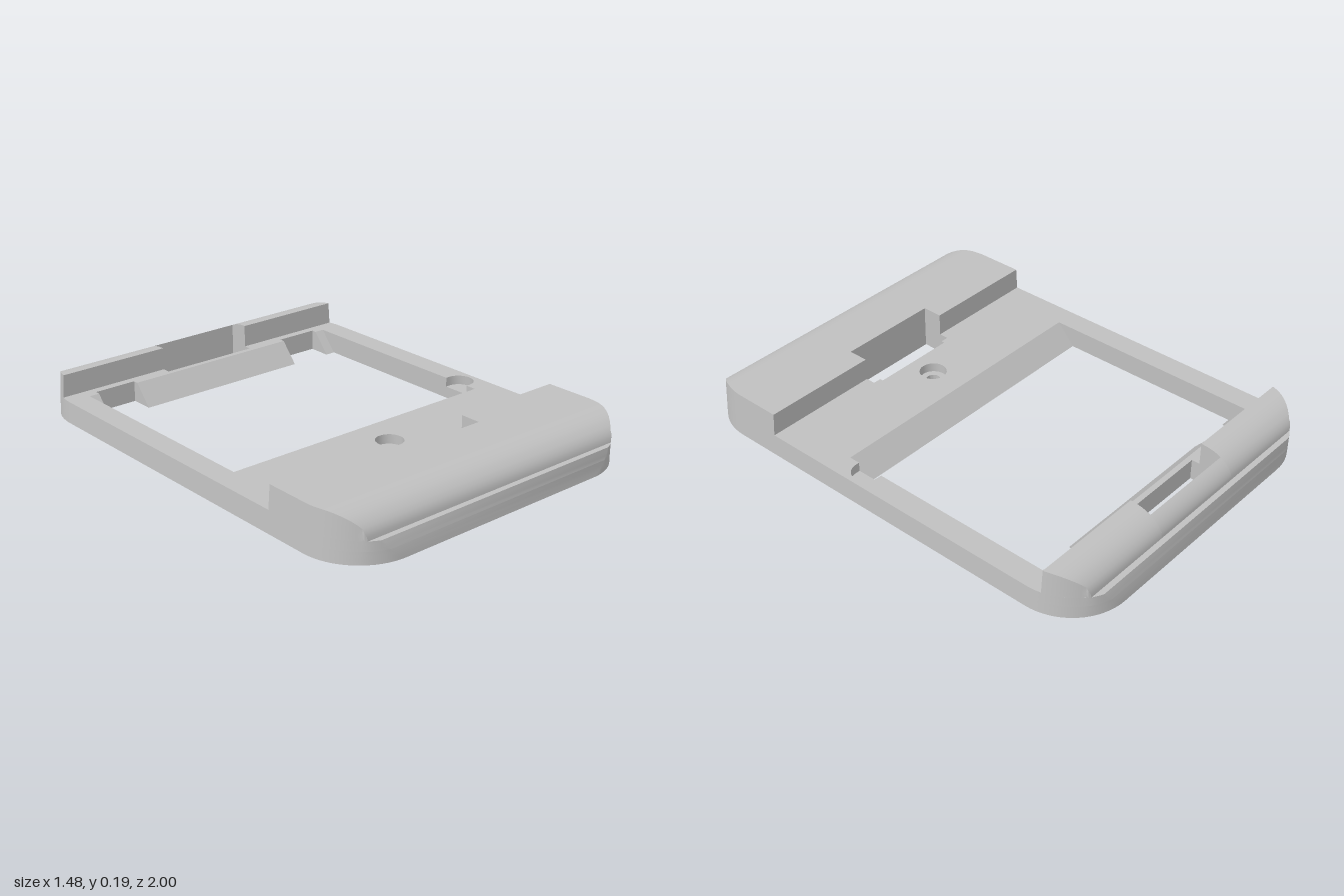
import * as THREE from 'three';
import { toCreasedNormals } from 'three/addons/utils/BufferGeometryUtils.js';

const W = 0.74, R = 0.25, TOP = 0.187, PLATE = 0.09, MID = 0.05, STEPS = 10;

const grey = new THREE.MeshStandardMaterial({ color: 0xc0c0c0 });
grey.name = 'grey plastic';

// Plan points are [x, z] pairs.
const arc = (cx, cz, r, a0, a1, n = 12) =>
  Array.from({ length: n + 1 }, (_, i) => {
    const a = a0 + (a1 - a0) * i / n;
    return [cx + r * Math.cos(a), cz + r * Math.sin(a)];
  });
const rect = (x0, x1, z0, z1) => [[x0, z0], [x1, z0], [x1, z1], [x0, z1]];
const flip = (pts, sx, sz) => pts.map(([x, z]) => [x * sx, z * sz]);
const toVec = pts => {
  const v = pts.map(([x, z]) => new THREE.Vector2(x, -z));
  return THREE.ShapeUtils.isClockWise(v) ? v.reverse() : v;
};

// Half-width of the rounded outline at a given z in a corner
const cornerX = z => W - R + Math.sqrt(Math.max(0, R * R - (z - 1 + R) ** 2));

// Plate and rounded-block sections: [height, end limit in z] for t from 0 to 1
const plateSection = (y0, y1) => t => {
  const y = y0 + (y1 - y0) * t;
  return [y, 1 - 0.02 * (y / PLATE) ** 1.5];
};
const blockSection = (maxAngle = Math.PI / 2) => t => {
  const a = t * maxAngle;
  return [PLATE + (TOP - PLATE) * Math.sin(a), 0.82 + 0.137 * Math.cos(a)];
};

// Plate corner, and a block corner whose points fall on the block's section limits
const corner = arc(W - R, 1 - R, R, 0, Math.PI / 2, 16);
const blockCorner = Array.from({ length: STEPS + 1 }, (_, i) => {
  const z = blockSection()(1 - i / STEPS)[1];
  return [cornerX(z), z];
});
blockCorner.push([W - R, 1]);

// Extrudes a plan upward, pulling points past the end limit back onto the section
function layer(name, outline, holes, section, steps) {
  const shape = new THREE.Shape(toVec(outline));
  shape.holes = holes.map(h => new THREE.Path(toVec(h)));
  const geo = new THREE.ExtrudeGeometry(shape, { depth: 1, steps, bevelEnabled: false });
  geo.rotateX(-Math.PI / 2);
  const p = geo.attributes.position;
  for (let i = 0; i < p.count; i++) {
    const [y, limit] = section(p.getY(i));
    let x = p.getX(i), z = p.getZ(i);
    if (Math.abs(z) > limit) {
      if (Math.abs(x) > W - R - 0.001) x = Math.sign(x) * cornerX(limit);
      z = Math.sign(z) * limit;
    }
    if (Math.abs(x) > 0.64) x *= 1 - 0.1 * y;
    p.setXYZ(i, x, y, z);
  }
  const mesh = new THREE.Mesh(toCreasedNormals(geo, 0.5), grey);
  mesh.name = name;
  return mesh;
}

// Triangular prism along x; slope falls from zTop at plate height to zFoot at the bottom
function wedge(name, x0, x1, zTop, zFoot) {
  const shape = new THREE.Shape(toVec([[-zTop, 0], [-zFoot, 0], [-zTop, -PLATE]]));
  const geo = new THREE.ExtrudeGeometry(shape, { depth: x1 - x0, bevelEnabled: false });
  geo.rotateY(Math.PI / 2).translate(x0, 0, 0);
  const mesh = new THREE.Mesh(geo, grey);
  mesh.name = name;
  return mesh;
}

export function createModel() {
  const model = new THREE.Group();
  model.name = 'deviceFrame';

  const cornerL = flip(corner, -1, 1).reverse();
  const outline = [...corner, ...cornerL, ...flip(corner, -1, -1), ...flip(cornerL, -1, -1)];

  // Window with two hinge notches at the rear; thumb notch in the upper half only
  const windowHole = extra => [
    [-0.635, 0.228], [-0.635, -0.752], [-0.59, -0.752], [-0.59, -0.775], [-0.4, -0.775], [-0.4, -0.752],
    [0.4, -0.752], [0.4, -0.775], [0.59, -0.775], [0.59, -0.752], [0.635, -0.752],
    ...extra, [0.635, 0.228],
  ];
  const thumbEdge = [[0.635, 0.06], ...arc(0.66, 0.12, 0.06, -Math.PI / 2, Math.PI / 2), [0.635, 0.18]];
  const frontSlot = [[-0.222, 0.643], [-0.222, 0.513], [-0.187, 0.513], [-0.187, 0.498],
    [0.187, 0.498], [0.187, 0.513], [0.222, 0.513], [0.222, 0.643]];
  const screw = r => arc(0, 0.387, r, 0, Math.PI * 2, 28).slice(0, -1);
  const sharedHoles = [
    frontSlot,
    rect(-0.222, 0.222, -0.9, -0.775),
    // underside pockets, closed above by the front block
    rect(-0.58, 0.58, 0.765, 0.82),
    rect(-0.6, -0.3, 0.67, 0.72),
    rect(0.3, 0.6, 0.67, 0.72),
  ];

  model.add(layer('lowerPlate', outline, [windowHole([]), screw(0.03), ...sharedHoles], plateSection(0, MID), 3));
  model.add(layer('upperPlate', outline, [windowHole(thumbEdge), screw(0.057), ...sharedHoles],
    plateSection(MID, PLATE), 3));

  // Raised front block with its latch recess
  model.add(layer('frontBlock', [
    [-W, 0.555], [-0.222, 0.555], [-0.222, 0.643], [0.222, 0.643], [0.222, 0.555], [W, 0.555],
    ...arc(W - R, 1 - R, R, 0, 0.25, 4), ...blockCorner,
    ...flip(blockCorner, -1, 1).reverse(), ...arc(R - W, 1 - R, R, Math.PI - 0.25, Math.PI, 4),
  ], [], blockSection(), STEPS));

  // Raised rear ridge: two ends and a lower wall behind the slot
  for (const s of [1, -1]) {
    const end = [[0.222, -0.81], [cornerX(0.81), -0.81], ...flip(blockCorner, 1, -1), [0.222, -1]];
    model.add(layer(s > 0 ? 'rearRidgeLeft' : 'rearRidgeRight', flip(end, s, 1), [], blockSection(), STEPS));
  }
  model.add(layer('rearSlotWall', rect(-0.222, 0.222, -1, -0.9), [],
    blockSection(Math.acos(0.08 / 0.137)), STEPS));

  // Sloping lips inside the window
  model.add(wedge('frontLip', -0.635, 0.635, 0.228, 0.147));
  model.add(wedge('rearLip', -0.4, 0.4, -0.752, -0.673));
  model.add(wedge('rearCornerLipLeft', 0.59, 0.635, -0.752, -0.673));
  model.add(wedge('rearCornerLipRight', -0.635, -0.59, -0.752, -0.673));

  return model;
}
